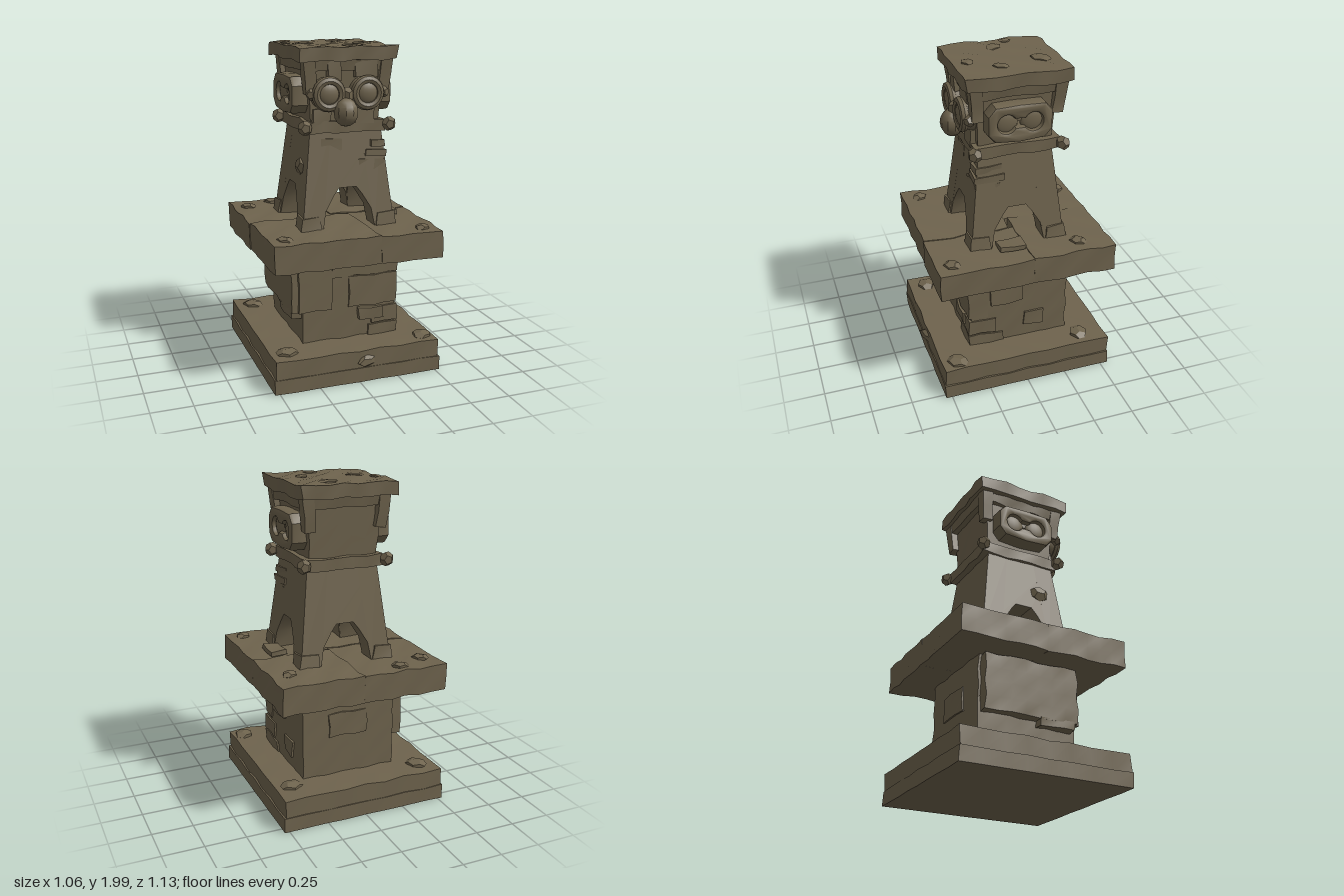
import * as THREE from 'three';
import { toCreasedNormals } from 'three/addons/utils/BufferGeometryUtils.js';

const stone = new THREE.MeshStandardMaterial({ color: 0x6e634d });
stone.name = 'weathered stone';

export function createModel() {
  const model = new THREE.Group();
  model.name = 'stoneTower';

  const add = (name, geometry, parent = model) => {
    const mesh = new THREE.Mesh(toCreasedNormals(geometry, 0.6), stone);
    mesh.name = name;
    parent.add(mesh);
    return mesh;
  };

  // Worn block between two corners; top = [x, z] scale of its upper face
  const block = (name, [x0, x1], [y0, y1], [z0, z1], { top = [1, 1], wear = 0.005, parent = model } = {}) => {
    const w = x1 - x0, h = y1 - y0, d = z1 - z0;
    const seg = (s) => Math.max(1, Math.min(8, Math.round(s / 0.09)));
    const g = new THREE.BoxGeometry(w, h, d, seg(w), seg(h), seg(d));
    const p = g.attributes.position;
    for (let i = 0; i < p.count; i++) {
      const t = p.getY(i) / h + 0.5;
      const x = p.getX(i) * (1 + (top[0] - 1) * t) + (x0 + x1) / 2;
      const z = p.getZ(i) * (1 + (top[1] - 1) * t) + (z0 + z1) / 2;
      const y = p.getY(i) + (y0 + y1) / 2;
      p.setXYZ(i,
        x + wear * Math.sin(31 * y + 23 * z + 3),
        Math.max(0, y + wear * Math.sin(27 * x + 19 * z) * (y0 === 0 && t < 0.01 ? 0 : 1)),
        z + wear * Math.sin(29 * x + 37 * y + 1));
    }
    return add(name, g, parent);
  };

  const rock = (name, x, y, z, sx, sy, sz, turn = 0.4) => {
    const m = add(name, new THREE.DodecahedronGeometry(1));
    m.position.set(x, y, z);
    m.scale.set(sx, sy, sz);
    m.rotation.y = turn;
    return m;
  };

  // Stepped base
  block('baseStep', [-0.53, 0.53], [0, 0.09], [-0.55, 0.54], { wear: 0.003 });
  block('baseSlab', [-0.52, 0.52], [0.08, 0.2], [-0.545, 0.535]);
  rock('baseChip', 0.06, 0.13, 0.53, 0.09, 0.04, 0.025);
  for (const [x, z] of [[-0.42, 0.42], [0.45, 0.44], [0.42, -0.38], [-0.41, -0.42]])
    rock('baseRubble', x, 0.205, z, 0.07, 0.025, 0.06, x + z);

  // Pedestal: core, wide upper course and projecting bricks
  block('pedestalCore', [-0.285, 0.32], [0.19, 0.74], [-0.325, 0.31]);
  block('pedestalUpperCourse', [-0.35, -0.2], [0.39, 0.73], [-0.31, 0.3]);
  block('pedestalFrontLeftBrick', [-0.31, -0.1], [0.4, 0.73], [0.2, 0.325]);
  block('pedestalFrontTopBrick', [-0.1, 0.33], [0.6, 0.73], [0.2, 0.32]);
  block('pedestalFrontMiddleBrick', [0.01, 0.325], [0.4, 0.595], [0.2, 0.325]);
  block('pedestalLooseBrick', [0.07, 0.23], [0.31, 0.385], [0.25, 0.335]);
  block('pedestalCornerBrick', [0.16, 0.33], [0.28, 0.38], [0.15, 0.325]);
  block('pedestalFootBrick', [0.14, 0.33], [0.2, 0.27], [0.1, 0.325]);
  block('pedestalSideBrick', [0.25, 0.333], [0.48, 0.6], [-0.03, 0.18]);
  block('pedestalSideBrick', [0.25, 0.333], [0.28, 0.38], [-0.17, -0.04]);
  block('pedestalSideStrip', [-0.35, -0.27], [0.35, 0.4], [0.05, 0.28]);
  block('pedestalBackBrick', [-0.1, 0.15], [0.45, 0.6], [-0.335, -0.25]);

  // Overhanging platform of four slabs
  block('platformSlab', [-0.52, 0.13], [0.735, 0.905], [0, 0.54]);
  block('platformSlab', [0.13, 0.527], [0.735, 0.9], [-0.03, 0.545]);
  block('platformSlab', [-0.525, 0.02], [0.735, 0.9], [-0.55, 0]);
  block('platformSlab', [0.02, 0.527], [0.735, 0.905], [-0.55, -0.03]);
  for (const [x, z] of [[-0.43, -0.39], [-0.25, -0.47], [0.41, -0.35], [0.43, 0.45], [-0.43, 0.43]])
    rock('platformRubble', x, 0.905, z, 0.055, 0.022, 0.045, x * 2);
  block('platformLooseSlab', [0.32, 0.42], [0.9, 0.93], [-0.02, 0.14]).rotation.z = 0.02;

  // Four-legged tower: one leaning arched wall repeated on each side
  const tower = new THREE.Group();
  tower.name = 'tower';
  tower.position.set(0.02, 0.9, 0);
  model.add(tower);
  const wall = new THREE.Shape([
    [-0.295, 0], [-0.165, 0], [-0.145, 0.11], [-0.09, 0.2], [-0.055, 0.245], [0.055, 0.245],
    [0.09, 0.2], [0.145, 0.11], [0.165, 0], [0.295, 0], [0.225, 0.59], [-0.225, 0.59],
  ].map(([x, y]) => new THREE.Vector2(x, y)));
  for (let i = 0; i < 4; i++) {
    const g = new THREE.ExtrudeGeometry(wall, { depth: 0.13, bevelEnabled: false });
    const p = g.attributes.position;
    for (let k = 0; k < p.count; k++) p.setZ(k, p.getZ(k) + 0.165 - p.getY(k) * 0.119);
    add('archedWall', g, tower).rotation.y = i * Math.PI / 2;
  }
  block('towerCore', [-0.2, 0.2], [0.245, 0.58], [-0.2, 0.2], { parent: tower, wear: 0 });
  for (const sx of [-1, 1]) for (const sz of [-1, 1])
    block('legFoot', [sx * 0.24 - 0.065, sx * 0.24 + 0.065], [0, 0.08], [sz * 0.24 - 0.065, sz * 0.24 + 0.065],
      { top: [0.85, 0.85], parent: tower });

  // Projecting bricks on the tower
  block('towerBrick', [0.1, 0.265], [1.235, 1.305], [0.1, 0.25]);
  block('towerBrick', [0.14, 0.27], [1.32, 1.36], [0.07, 0.255]);
  block('towerBrick', [0.17, 0.26], [1.38, 1.42], [0.09, 0.25]);
  block('towerBrick', [-0.14, -0.01], [1.37, 1.44], [0.15, 0.237], { wear: 0.003 });
  rock('towerSideStone', -0.225, 1.26, 0.12, 0.035, 0.055, 0.07, 0);

  // Head: inset core, flared corner posts, bottom rim and flat cap
  block('headCore', [-0.195, 0.225], [1.47, 1.91], [-0.225, 0.215], { top: [1.12, 1.12], wear: 0.003 });
  block('headRim', [-0.225, 0.265], [1.475, 1.545], [-0.27, 0.25]);
  block('headTopBand', [-0.245, 0.28], [1.84, 1.92], [-0.285, 0.265], { top: [1.05, 1.05] });
  for (const sx of [-1, 1]) for (const sz of [-1, 1]) {
    const post = block('cornerPost', [-0.03, 0.03], [-0.2, 0.2], [-0.03, 0.03], { top: [1.2, 1.2], wear: 0.003 });
    post.position.set(0.018 + sx * 0.222, 1.71, -0.008 + sz * 0.238);
    post.rotation.set(sz * 0.08, 0, -sx * 0.1);
    rock('cornerKnob', 0.02 + sx * 0.265, 1.515, -0.012 + sz * 0.268, 0.043, 0.045, 0.043);
  }
  block('cap', [-0.29, 0.31], [1.9, 1.98], [-0.32, 0.305], { top: [1.01, 1.01], wear: 0.006 });
  for (const [x, z, w] of [[-0.25, -0.1, 0.04], [0.04, 0.22, 0.05], [0.16, 0.06, 0.05], [-0.16, 0.0, 0.06], [0.1, -0.2, 0.07]])
    rock('capChip', x, 1.983, z, w, 0.01, w * 0.8, x * 5);

  // Carved side ears with a paired recess
  const earOutline = new THREE.Shape([
    [-0.175, -0.05], [-0.14, -0.09], [0, -0.1], [0.14, -0.09], [0.175, -0.05],
    [0.175, 0.05], [0.14, 0.09], [0, 0.095], [-0.14, 0.09], [-0.175, 0.05],
  ].map(([x, y]) => new THREE.Vector2(x, y)));
  const recess = new THREE.Path();
  recess.absarc(0.08, 0, 0.072, -2.5, 2.5, false);
  recess.absarc(-0.08, 0, 0.072, 0.64, Math.PI * 2 - 0.64, false);
  recess.closePath();
  earOutline.holes.push(recess);
  for (const side of [-1, 1]) {
    const ear = new THREE.Group();
    ear.name = side > 0 ? 'leftEar' : 'rightEar';
    ear.position.set(0.012 + side * 0.22, 1.695, -0.005);
    ear.rotation.y = side * Math.PI / 2;
    model.add(ear);
    add('earRim', new THREE.ExtrudeGeometry(earOutline, {
      depth: 0.075, bevelSize: 0.018, bevelThickness: 0.022, bevelSegments: 2, curveSegments: 10,
    }), ear);
    for (const s of [-1, 1]) {
      const lens = add('earLens', new THREE.SphereGeometry(0.075, 16, 10), ear);
      lens.position.set(s * 0.08, 0, 0.05);
      lens.scale.z = 0.35;
    }
    block('earBridge', [-0.05, 0.05], [-0.05, 0.05], [0, 0.06], { parent: ear, wear: 0 });
  }

  // Face: ringed eyes, nose, brow and mouth blocks
  for (const x of [-0.11, 0.13]) {
    const ring = add('eyeRing', new THREE.TorusGeometry(0.078, 0.026, 8, 20));
    ring.position.set(x, 1.71, 0.29);
    const back = add('eyeSocket', new THREE.CylinderGeometry(0.09, 0.1, 0.09, 20).rotateX(Math.PI / 2));
    back.position.set(x, 1.71, 0.24);
    const eye = add('eyeball', new THREE.SphereGeometry(0.07, 16, 10));
    eye.position.set(x, 1.71, 0.285);
    eye.scale.z = 0.45;
  }
  rock('eyeCorner', -0.205, 1.71, 0.27, 0.04, 0.035, 0.035, 0);
  rock('eyeCorner', 0.235, 1.71, 0.27, 0.04, 0.035, 0.035, 0);
  rock('noseBridge', 0.005, 1.7, 0.28, 0.04, 0.05, 0.05, 0);
  const nose = add('nose', new THREE.SphereGeometry(1, 10, 8));
  nose.position.set(-0.01, 1.605, 0.305);
  nose.scale.set(0.075, 0.085, 0.072);
  block('browBlock', [-0.11, -0.03], [1.79, 1.9], [0.2, 0.28]);
  block('browBlock', [0.06, 0.2], [1.8, 1.9], [0.2, 0.275]);
  block('cheekBlock', [0.07, 0.19], [1.525, 1.63], [0.18, 0.255]);
  block('cheekBlock', [-0.19, -0.08], [1.53, 1.62], [0.18, 0.245]);

  return model;
}
